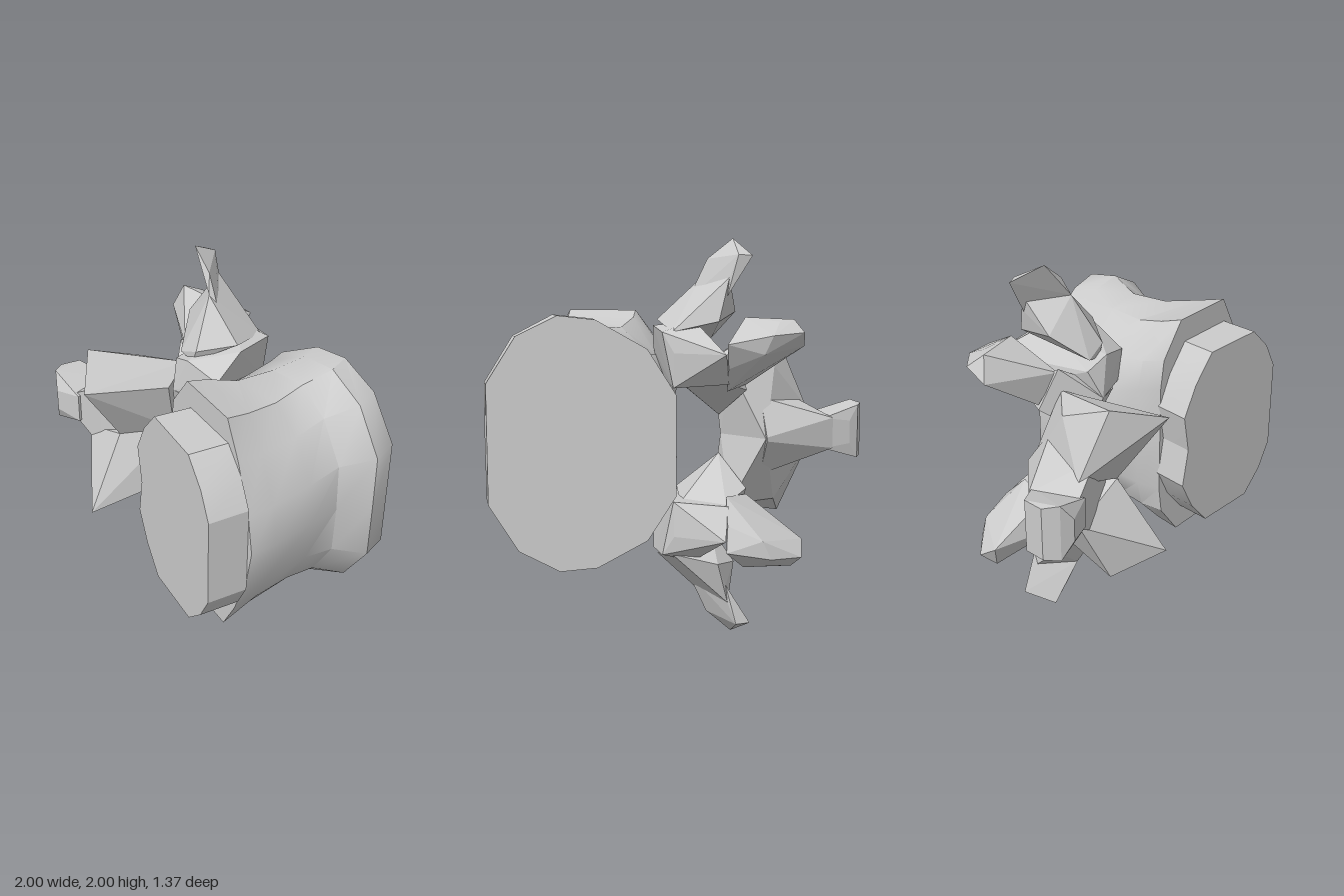
import * as THREE from 'three';
import { toCreasedNormals } from 'three/addons/utils/BufferGeometryUtils.js';
import { ConvexGeometry } from 'three/addons/geometries/ConvexGeometry.js';

// The model is symmetric about this height; all heights below are offsets from it.
const MID = 1;

// Closed ring from an upper half outline [t, h]; t runs from point P to point A in the xz plane.
function makeRing(outline, [px, pz], [ax, az], scale = 1) {
  const place = (t, h) => new THREE.Vector3(px + (ax - px) * t, MID + h * scale, pz + (az - pz) * t);
  const upper = outline.map(([t, h]) => place(t, h));
  const lower = outline.slice(1, -1).reverse().map(([t, h]) => place(t, -h));
  return [...upper, ...lower];
}

// Skin a series of rings, ordered from back to front, and cap both ends.
function loft(rings, crease) {
  const pos = [];
  const tri = (...points) => points.forEach((p) => pos.push(p.x, p.y, p.z));
  const n = rings[0].length;
  const centre = (ring) => ring.reduce((s, p) => s.add(p), new THREE.Vector3()).divideScalar(n);
  const first = rings[0], last = rings[rings.length - 1];
  const c0 = centre(first), c1 = centre(last);
  for (let j = 0; j < n; j++) {
    const k = (j + 1) % n;
    for (let i = 0; i < rings.length - 1; i++) {
      const a = rings[i], b = rings[i + 1];
      tri(a[j], b[j], b[k]);
      tri(a[j], b[k], a[k]);
    }
    tri(c0, first[j], first[k]);
    tri(c1, last[k], last[j]);
  }
  const geometry = new THREE.BufferGeometry();
  geometry.setAttribute('position', new THREE.Float32BufferAttribute(pos, 3));
  return toCreasedNormals(geometry, crease);
}

// Faceted bone lump through points [x, h, z]; side is +1 for upper, -1 for lower.
const hull = (points, side) =>
  new ConvexGeometry(points.map(([x, h, z]) => new THREE.Vector3(x, MID + h * side, z)));

export function createModel() {
  const group = new THREE.Group();
  const bone = new THREE.MeshStandardMaterial({ color: 0xcccccc });
  bone.name = 'bone grey';
  const add = (name, geometry) => {
    const mesh = new THREE.Mesh(geometry, bone);
    mesh.name = name;
    group.add(mesh);
  };

  // Vertebral body: flared end plates and a narrower waist
  const backOutline = [[0, 0], [0, 0.25], [0.15, 0.47], [0.42, 0.61], [0.62, 0.63], [0.84, 0.53], [1, 0.3], [1, 0]];
  const frontOutline = [[0, 0], [0, 0.3], [0.03, 0.45], [0.21, 0.63], [0.69, 0.63], [0.82, 0.45], [0.95, 0.2], [1, 0]];
  const stations = [
    { mix: 0, p: [0.09, -0.5], a: [0.99, -0.3], s: 1 },
    { mix: 0.05, p: [0.1, -0.4], a: [0.995, -0.15], s: 1 },
    { mix: 0.2, p: [0.07, -0.25], a: [0.86, -0.03], s: 0.91 },
    { mix: 0.5, p: [0.03, -0.05], a: [0.82, 0.14], s: 0.89 },
    { mix: 0.85, p: [0.01, 0.08], a: [0.77, 0.37], s: 0.95 },
    { mix: 1, p: [0.015, 0.2], a: [0.72, 0.5], s: 1 },
  ];
  add('vertebralBody', loft(stations.map(({ mix, p, a, s }) => {
    const outline = backOutline.map(([t, h], i) => [
      THREE.MathUtils.lerp(t, frontOutline[i][0], mix),
      THREE.MathUtils.lerp(h, frontOutline[i][1], mix),
    ]);
    return makeRing(outline, p, a, s);
  }), 0.6));

  // Disc resting on the front end plate
  const discOutline = [[0.06, 0], [0.01, 0.2], [0.12, 0.36], [0.28, 0.5], [0.74, 0.5], [0.9, 0.38], [1, 0.24], [1, 0]];
  add('disc', loft([
    makeRing(discOutline, [0.01, 0.18], [0.69, 0.49]),
    makeRing(discOutline, [-0.09, 0.35], [0.6, 0.68]),
  ], 0.3));

  // Rear spine: tapering root and flared tip, built across the midline
  const bothSides = (points) => points.flatMap(([x, h, z]) => [[x, h, z], [x, -h, z]]);
  add('spineRoot', hull(bothSides([
    [-0.8, 0.08, -0.22], [-0.8, 0.08, 0.03], [-0.72, 0.12, 0], [-0.6, 0.2, 0.05],
    [-0.4, 0.01, -0.38], [-0.4, 0.2, -0.25], [-0.45, 0.2, 0.05],
  ]), 1));
  add('spineTip', hull(bothSides([
    [-1, 0.14, -0.08], [-0.97, 0.15, 0], [-0.95, 0.14, -0.18], [-0.9, 0.06, -0.2],
    [-0.92, 0.06, 0.05], [-0.75, 0.08, -0.22], [-0.76, 0.08, 0.05],
  ]), 1));

  // Paired parts of the arch
  const pairs = {
    // Plate beside the canal, ending in the front joint corner
    lamina: [
      [-0.42, 0.38, 0.36], [-0.42, 0.15, 0.2], [-0.42, 0, 0.1], [-0.2, 0.3, -0.05], [-0.22, 0.08, -0.1],
      [-0.22, 0, -0.12], [-0.6, 0.47, 0.12], [-0.65, 0.27, 0.05], [-0.72, 0.12, 0], [-0.5, 0.35, -0.15],
      [-0.4, 0, -0.36], [-0.24, 0.35, -0.25],
    ],
    // Bridge from plate to stalk
    archBridge: [
      [-0.21, 0.1, -0.12], [-0.17, 0.3, -0.05], [0, 0.28, -0.05], [-0.24, 0.35, -0.3], [-0.3, 0.25, -0.35],
      [-0.16, 0.3, -0.5], [0.05, 0.3, -0.4], [-0.27, 0.48, -0.25],
    ],
    // Stalk joining the body
    pedicle: [
      [0.15, 0.55, -0.45], [0.1, 0.45, -0.5], [0.1, 0.28, -0.48], [0.15, 0.57, -0.2], [0.12, 0.45, -0.04],
      [0.08, 0.3, -0.04], [-0.17, 0.3, -0.05], [-0.2, 0.45, -0.12], [-0.16, 0.3, -0.55], [-0.02, 0.6, -0.4],
      [-0.12, 0.45, -0.66], [-0.08, 0.5, -0.06],
    ],
    // Rear joint lobe
    jointLobe: [
      [-0.54, 0.48, -0.53], [-0.51, 0.55, -0.63], [-0.48, 0.61, -0.55], [-0.4, 0.6, -0.58], [-0.34, 0.54, -0.69],
      [-0.3, 0.45, -0.68], [-0.12, 0.5, -0.68], [-0.14, 0.38, -0.62], [-0.16, 0.26, -0.5], [-0.25, 0.62, -0.5],
      [-0.25, 0.45, -0.26], [-0.3, 0.28, -0.35],
    ],
    // Side wing: broad root
    wingRoot: [
      [-0.17, 0.72, -0.46], [-0.02, 0.7, -0.25], [0.13, 0.6, -0.2], [0.1, 0.55, -0.45], [-0.17, 0.5, -0.12],
      [-0.25, 0.64, -0.3], [-0.05, 0.55, -0.09], [-0.12, 0.6, -0.5], [-0.08, 0.48, -0.1], [-0.18, 0.81, -0.46],
      [-0.08, 0.8, -0.24],
    ],
    // Side wing: bent tip
    wingTip: [
      [-0.18, 0.81, -0.46], [-0.08, 0.8, -0.24], [-0.17, 0.72, -0.46], [-0.02, 0.7, -0.25], [-0.11, 0.9, -0.28],
      [-0.23, 1, -0.32], [-0.29, 0.915, -0.48], [-0.22, 0.92, -0.48],
    ],
  };
  for (const [name, points] of Object.entries(pairs)) {
    add(name + 'Upper', hull(points, 1));
    add(name + 'Lower', hull(points, -1));
  }
  return group;
}
